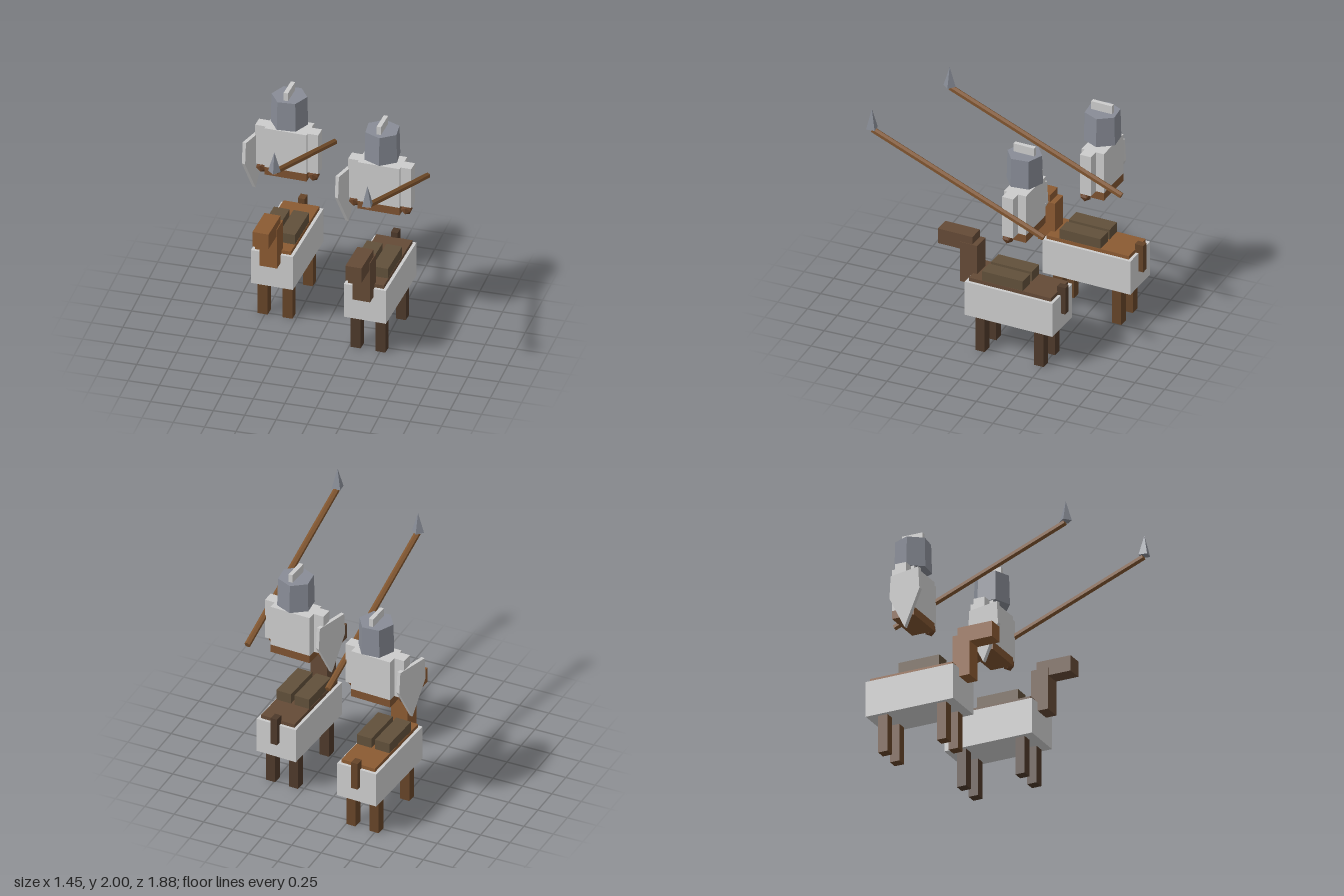
import * as THREE from 'three';

const mat = (color) => new THREE.MeshStandardMaterial({ color, flatShading: true });
const GREY = mat(0xcccccc);
const STEEL = mat(0x888c96);
const WOOD = mat(0x80552f);
const LEATHER = mat(0x7d5230);
const TROUSER = mat(0x61503a);
const SKIN = mat(0x6b4428);

function add(parent, name, geometry, material, x, y, z) {
  const mesh = new THREE.Mesh(geometry, material);
  mesh.name = name;
  mesh.position.set(x, y, z);
  parent.add(mesh);
  return mesh;
}

// Box given by its width, depth, bottom and top
function block(parent, name, material, width, depth, bottom, top, x, z) {
  const geometry = new THREE.BoxGeometry(width, top - bottom, depth);
  return add(parent, name, geometry, material, x, (bottom + top) / 2, z);
}

function createHorse(coat, limbs) {
  const horse = new THREE.Group();
  horse.name = 'horse';
  block(horse, 'horseCloth', GREY, 0.34, 0.755, 0.31, 0.605, 0, 0);
  block(horse, 'horseBack', coat, 0.29, 0.705, 0.35, 0.635, 0, 0);
  block(horse, 'horseNeck', coat, 0.142, 0.147, 0.535, 0.885, 0, 0.392);
  block(horse, 'horseHead', coat, 0.13, 0.295, 0.82, 0.95, 0, 0.51);
  block(horse, 'horseTail', limbs, 0.055, 0.07, 0.445, 0.68, 0, -0.382);
  for (const x of [-0.1, 0.1]) {
    for (const z of [-0.245, 0.26]) {
      block(horse, 'horseLeg', limbs, 0.08, 0.08, 0, 0.33, x, z);
    }
  }
  return horse;
}

// Heater shield standing in the YZ plane
function shieldGeometry() {
  const shape = new THREE.Shape([
    [-0.14, 0.235], [0.14, 0.235], [0.152, 0.05], [0, -0.235], [-0.152, 0.05],
  ].map(([x, y]) => new THREE.Vector2(x, y)));
  const geometry = new THREE.ExtrudeGeometry(shape, { depth: 0.03, bevelEnabled: false });
  return geometry.translate(0, 0, -0.015).rotateY(-Math.PI / 2);
}

function createRider(helmetTurn, tipTurn) {
  const rider = new THREE.Group();
  rider.name = 'rider';

  // Body
  block(rider, 'torso', GREY, 0.34, 0.19, 1.157, 1.505, 0, 0);
  block(rider, 'tunicHem', LEATHER, 0.34, 0.19, 1.09, 1.157, 0, 0);
  for (const side of [-1, 1]) {
    block(rider, 'arm', GREY, 0.09, 0.095, 1.157, 1.505, side * 0.21, 0.02);
    add(rider, 'hand', new THREE.IcosahedronGeometry(0.048), SKIN, side * 0.21, 1.125, 0.04);
    block(rider, 'riderLeg', TROUSER, 0.127, 0.35, 0.6, 0.72, side * 0.079, 0.122);
  }

  // Head and helmet
  add(rider, 'head', new THREE.IcosahedronGeometry(0.12), SKIN, 0, 1.622, 0);
  const helmet = new THREE.CylinderGeometry(0.14, 0.147, 0.245, 6);
  add(rider, 'helmet', helmet, STEEL, 0, 1.658, 0).rotation.y = helmetTurn;
  block(rider, 'helmetCrest', GREY, 0.035, 0.178, 1.72, 1.85, 0, 0);

  // Shield and lance
  add(rider, 'shield', shieldGeometry(), GREY, -0.264, 1.18, 0.07).rotation.y = -0.24;
  const shaft = new THREE.CylinderGeometry(0.025, 0.025, 1.58, 6);
  add(rider, 'lanceShaft', shaft, WOOD, 0.266, 1.53, 0.439).rotation.x = 1.195;
  const tip = new THREE.ConeGeometry(0.05, 0.17, 4);
  add(rider, 'lanceTip', tip, STEEL, 0.266, 1.915, 1.18).rotation.y = tipTurn;
  return rider;
}

export function createModel() {
  const model = new THREE.Group();
  model.name = 'mountedKnights';
  const knights = [
    { x: -0.402, z: -0.58, coat: 0x8b5a32, limbs: 0x654428, helmetTurn: 0.64, tipTurn: 0.1 },
    { x: 0.42, z: -0.29, coat: 0x644a36, limbs: 0x4d392a, helmetTurn: 0.146, tipTurn: 0.9 },
  ];
  for (const k of knights) {
    const knight = new THREE.Group();
    knight.name = 'mountedKnight';
    const horse = createHorse(mat(k.coat), mat(k.limbs));
    horse.position.z = 0.055;
    knight.add(horse, createRider(k.helmetTurn, k.tipTurn));
    knight.position.set(k.x, 0, k.z);
    knight.rotation.y = -0.046;
    model.add(knight);
  }
  return model;
}
